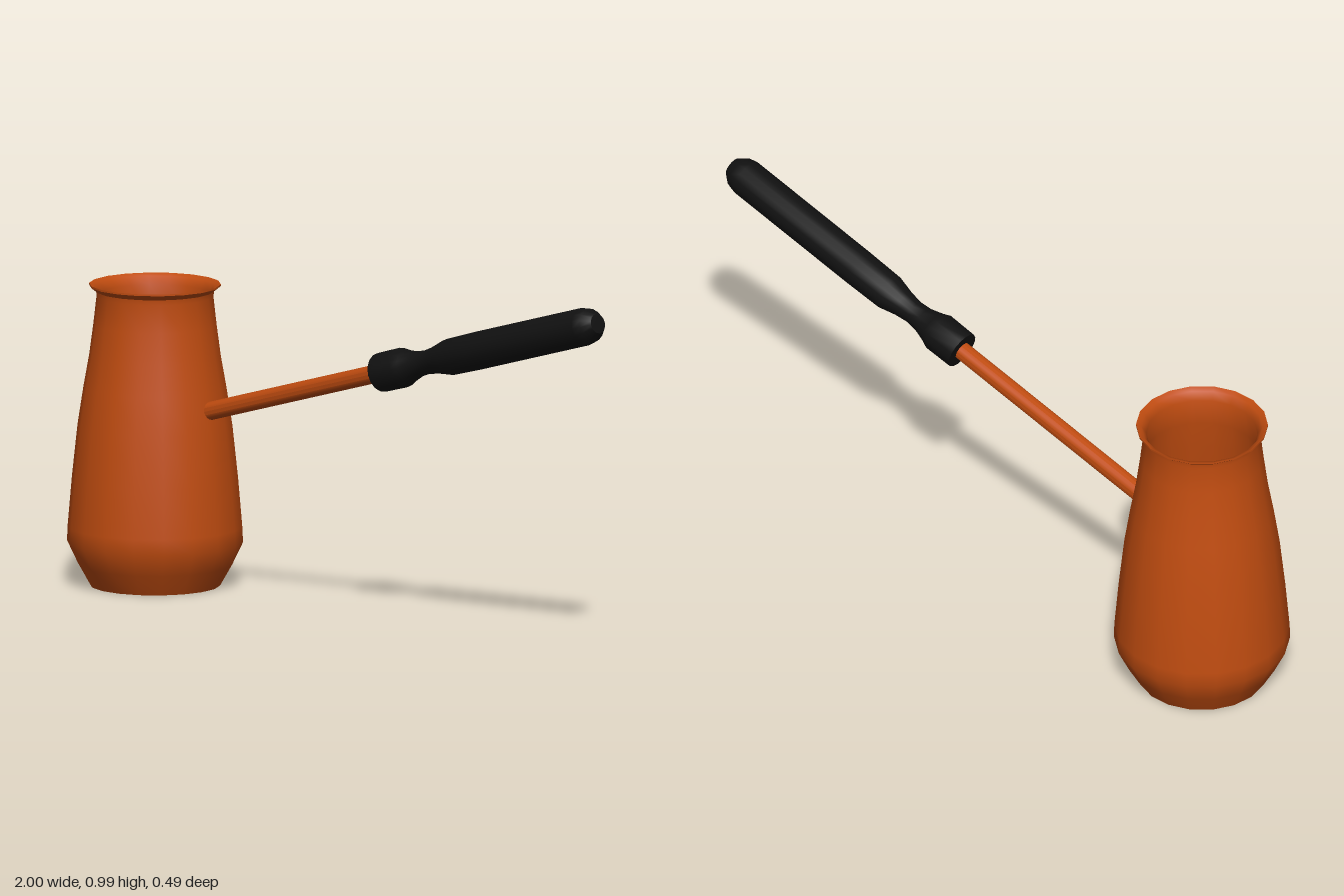
import * as THREE from 'three';
import { toCreasedNormals } from 'three/addons/utils/BufferGeometryUtils.js';

const copper = new THREE.MeshStandardMaterial({ color: 0xc04c10 });
const black = new THREE.MeshStandardMaterial({ color: 0x111111 });

// Revolve [radius, height] pairs, keeping edges sharper than the crease angle
function turned(name, profile, sides, material, crease) {
  const points = profile.map(([r, y]) => new THREE.Vector2(r, y));
  const geometry = toCreasedNormals(new THREE.LatheGeometry(points, sides, Math.PI / 2), crease);
  const mesh = new THREE.Mesh(geometry, material);
  mesh.name = name;
  return mesh;
}

export function createModel() {
  const model = new THREE.Group();
  model.name = 'coffeePot';

  // Hollow pot: base, outer wall, flared lip, then inner wall down to the floor
  const pot = turned('pot', [
    [0, 0], [0.185, 0], [0.219, 0.06], [0.25, 0.125], [0.248, 0.17],
    [0.236, 0.31], [0.22, 0.46], [0.203, 0.57], [0.187, 0.66], [0.175, 0.75],
    [0.166, 0.83], [0.168, 0.845], [0.187, 0.86], [0.187, 0.865],
    [0.172, 0.858], [0.158, 0.835], [0.167, 0.75], [0.179, 0.66], [0.195, 0.57],
    [0.212, 0.46], [0.228, 0.31], [0.24, 0.17], [0.242, 0.13],
    [0.212, 0.065], [0.18, 0.01], [0, 0.01],
  ], 18, copper, 0.75);
  pot.position.x = -0.75;
  model.add(pot);

  // Sloping handle, built upright with its origin at the start of the grip
  const handle = new THREE.Group();
  handle.name = 'handle';
  handle.position.set(0.135, 0.714, -0.011);
  handle.rotation.z = THREE.MathUtils.degToRad(15.8) - Math.PI / 2;
  handle.add(
    turned('rod', [[0, -0.703], [0.026, -0.703], [0.026, 0.02], [0, 0.02]], 16, copper, 0.75),
    turned('grip', [
      [0, 0], [0.056, 0], [0.057, 0.09], [0.048, 0.112], [0.037, 0.15],
      [0.034, 0.185], [0.039, 0.225], [0.052, 0.28], [0.054, 0.4], [0.054, 0.835],
      [0.048, 0.862], [0.028, 0.888], [0, 0.89],
    ], 16, black, 0.75),
  );
  model.add(handle);

  return model;
}
